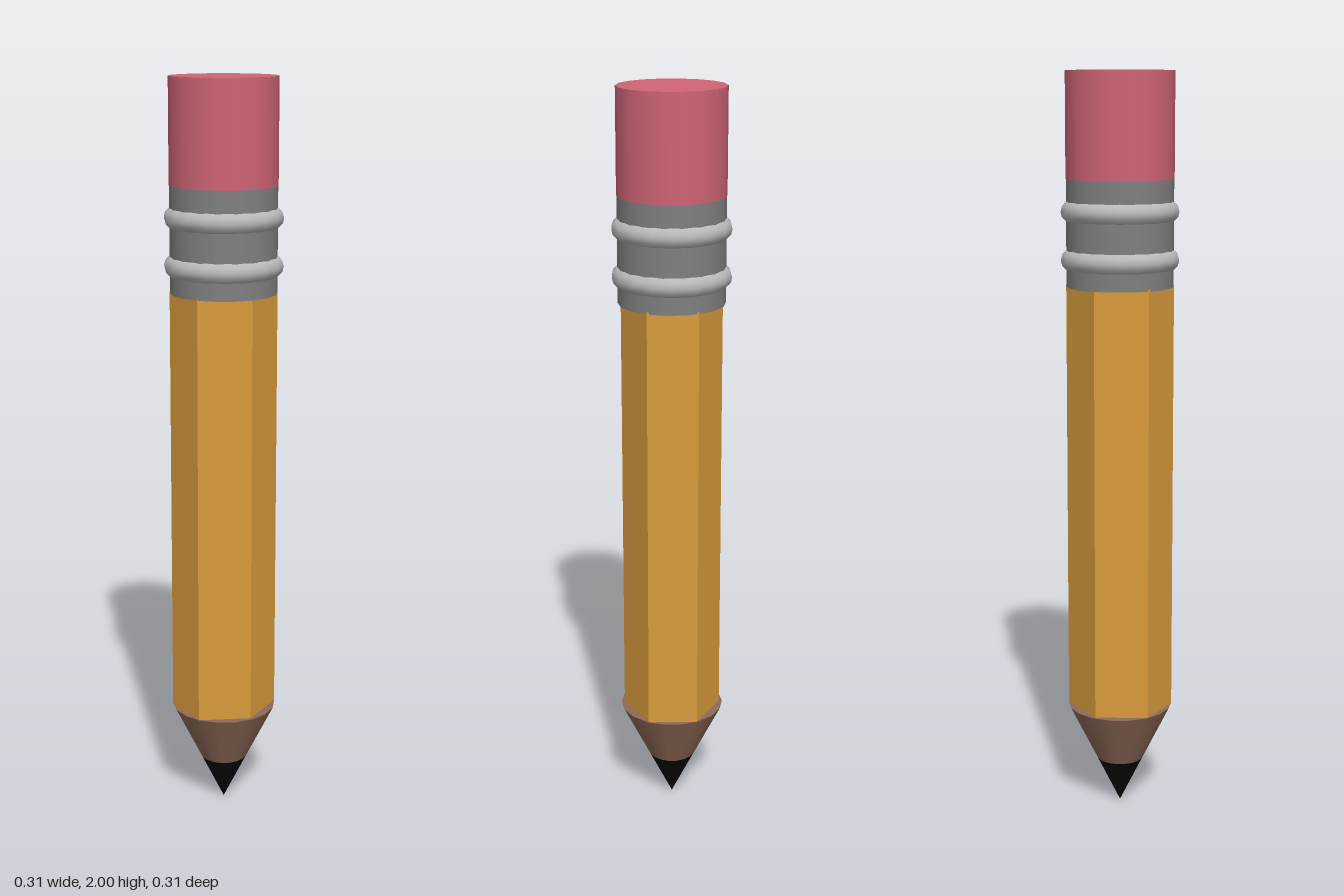
import * as THREE from 'three';

const SIDES = 18;

export function createModel() {
  const model = new THREE.Group();
  model.name = 'pencil';

  const material = (color, flatShading = false) =>
    new THREE.MeshStandardMaterial({ color, flatShading });
  const yellow = material(0xd99c3c, true);
  const wood = material(0x8f6a58);
  const black = material(0x080808);
  const darkMetal = material(0x808080);
  const lightMetal = material(0xb8b8b8);
  const pink = material(0xcf6475);

  const add = (name, geometry, mat, y = 0) => {
    const mesh = new THREE.Mesh(geometry, mat);
    mesh.name = name;
    mesh.position.y = y;
    model.add(mesh);
    return mesh;
  };

  // Round section spanning two heights
  const section = (name, bottom, top, rBottom, rTop, mat, sides = SIDES) =>
    add(name, new THREE.CylinderGeometry(rTop, rBottom, top - bottom, sides), mat, (bottom + top) / 2);

  // Sharpened end
  section('leadTip', 0, 0.13, 0, 0.064, black);
  section('sharpenedWood', 0.13, 0.287, 0.064, 0.142, wood);

  // Six-sided body, slightly wider across x, with an edge facing the front
  const body = section('body', 0.287, 1.45, 1, 1, yellow, 6);
  body.geometry.scale(0.145, 1, 0.133);

  // Metal sleeve with two raised bands
  section('ferrule', 1.445, 1.725, 0.141, 0.141, darkMetal);
  for (const [name, y] of [['lowerBand', 1.516], ['upperBand', 1.642]]) {
    const ring = new THREE.TorusGeometry(0.129, 0.028, 12, SIDES);
    ring.rotateX(Math.PI / 2);
    add(name, ring, lightMetal, y);
  }

  // Eraser
  section('eraser', 1.725, 2, 0.142, 0.142, pink);

  return model;
}
